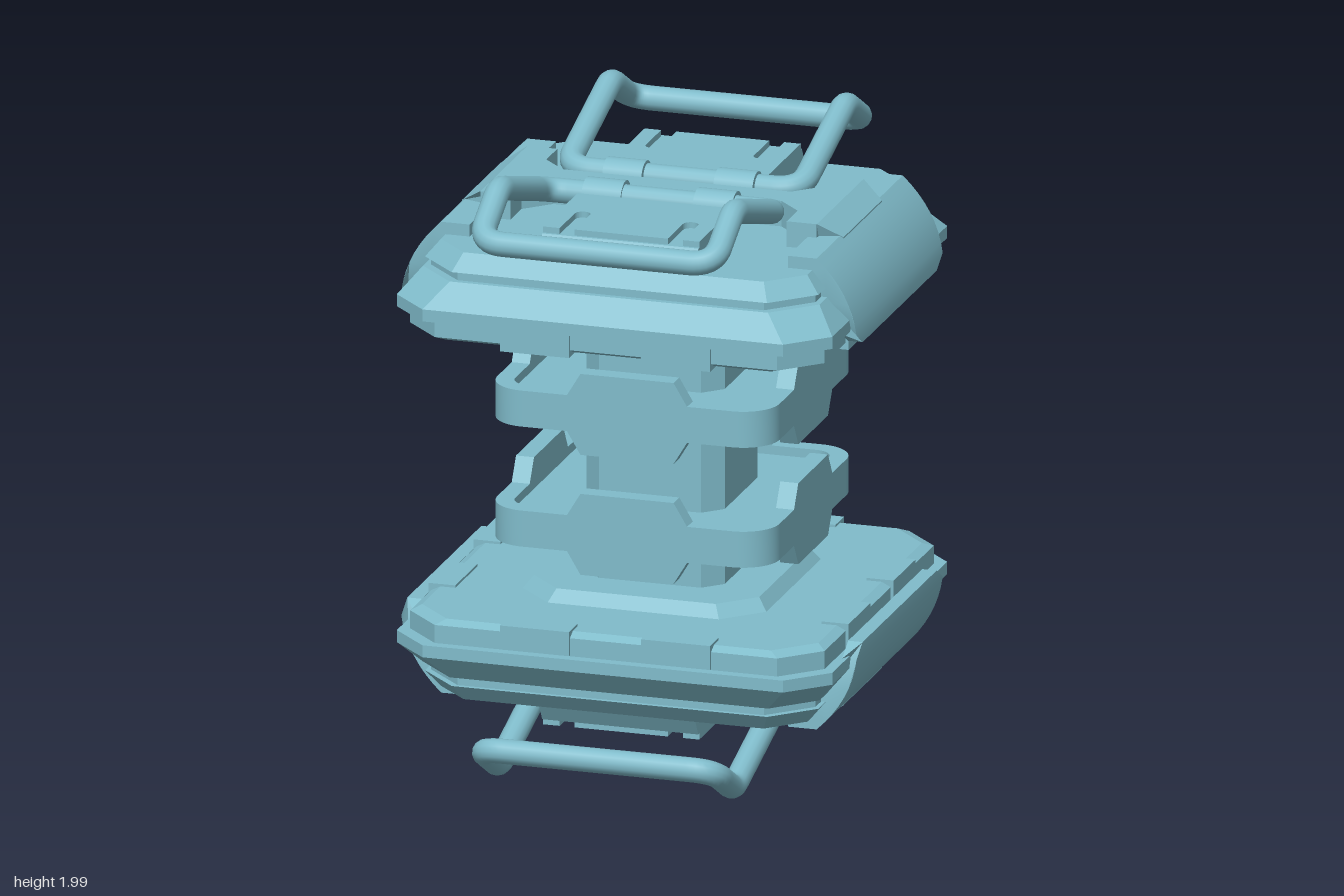
import * as THREE from 'three';
import { toCreasedNormals } from 'three/addons/utils/BufferGeometryUtils.js';

const paint = new THREE.MeshStandardMaterial({ color: 0x80bccb });
paint.name = 'paleTeal';

function add(parent, name, geometry) {
  const m = new THREE.Mesh(geometry, paint);
  m.name = name;
  parent.add(m);
  return m;
}

// Closed solid through stacked rings of [x, y, z], flat shaded
function loft(rings) {
  const pos = [], n = rings[0].length;
  const tri = (a, b, c) => pos.push(...a, ...b, ...c);
  for (let k = 0; k + 1 < rings.length; k++) {
    for (let i = 0; i < n; i++) {
      const j = (i + 1) % n, lo = rings[k], hi = rings[k + 1];
      tri(lo[i], lo[j], hi[j]);
      tri(lo[i], hi[j], hi[i]);
    }
  }
  const bottom = rings[0], top = rings[rings.length - 1];
  for (let i = 1; i + 1 < n; i++) {
    tri(bottom[0], bottom[i + 1], bottom[i]);
    tri(top[0], top[i], top[i + 1]);
  }
  const g = new THREE.BufferGeometry();
  g.setAttribute('position', new THREE.Float32BufferAttribute(pos, 3));
  g.computeVertexNormals();
  return g;
}

// Square of half size s with cut corners c
function octagon(s, c, y) {
  const d = s - c;
  return [[s, d], [s, -d], [d, -s], [-d, -s], [-s, -d], [-s, d], [-d, s], [d, s]].map(([x, z]) => [x, y, z]);
}
const octLoft = (levels) => loft(levels.map(([s, c, y]) => octagon(s, c, y)));

function polygon(points) {
  return new THREE.Shape(points.map(([x, y]) => new THREE.Vector2(x, y)));
}

// Plan shape (x, -z) raised from y0 to y1
function slab(shape, y0, y1) {
  const g = new THREE.ExtrudeGeometry(shape, { depth: y1 - y0, bevelEnabled: false, curveSegments: 8 });
  return g.rotateX(-Math.PI / 2).translate(0, y0, 0);
}

// Closed wire path with rounded corners
function roundedLoop(points, radii) {
  const path = new THREE.CurvePath(), n = points.length, cut = [];
  points.forEach((p, i) => {
    const to = (q) => p.clone().add(q.clone().sub(p).setLength(radii[i]));
    cut.push([to(points[(i + n - 1) % n]), to(points[(i + 1) % n])]);
  });
  for (let i = 0; i < n; i++) {
    const j = (i + 1) % n;
    path.add(new THREE.LineCurve3(cut[i][1], cut[j][0]));
    path.add(new THREE.QuadraticBezierCurve3(cut[j][0], points[j], cut[j][1]));
  }
  return path;
}

// Raised panel, folding wire handle and its two hinge sleeves
function handleHalf() {
  const half = new THREE.Group();
  half.name = 'handleHalf';

  add(half, 'panelBase', loft([
    [[0.26, 1.68, 0.62], [0.26, 1.68, 0.17], [-0.26, 1.68, 0.17], [-0.26, 1.68, 0.62]],
    [[0.26, 1.81, 0.54], [0.26, 1.81, 0.17], [-0.26, 1.81, 0.17], [-0.26, 1.81, 0.54]],
  ]));
  const plate = new THREE.Shape();
  plate.moveTo(-0.26, -0.17);
  plate.lineTo(-0.26, -0.53);
  for (const x of [-0.18, 0.18]) {
    plate.lineTo(x - 0.025, -0.53);
    plate.lineTo(x - 0.025, -0.37);
    plate.absarc(x, -0.37, 0.025, Math.PI, 0, true);
    plate.lineTo(x + 0.025, -0.53);
  }
  plate.lineTo(0.26, -0.53);
  plate.lineTo(0.26, -0.17);
  add(half, 'slottedPanel', slab(plate, 1.81, 1.83));

  const v = (x, y, z) => new THREE.Vector3(x, y, z);
  const loop = roundedLoop([
    v(-0.39, 1.815, 0.115), v(0.39, 1.815, 0.115), v(0.39, 1.962, 0.585),
    v(0.39, 1.845, 0.79), v(-0.39, 1.845, 0.79), v(-0.39, 1.962, 0.585),
  ], [0.09, 0.09, 0.04, 0.08, 0.08, 0.04]);
  add(half, 'wireHandle', new THREE.TubeGeometry(loop, 200, 0.04, 14, true));

  for (const s of [-1, 1]) {
    const sleeve = new THREE.CylinderGeometry(0.056, 0.056, 0.13, 20).rotateZ(Math.PI / 2);
    add(half, 'hingeSleeve', sleeve.translate(s * 0.185, 1.81, 0.108));
  }
  return half;
}

// Curved guard along one side, with its lower corners cut
function sideGuard() {
  const section = new THREE.Shape();
  section.moveTo(0.53, 1.70);
  section.lineTo(0.66, 1.64);
  section.lineTo(0.71, 1.54);
  section.lineTo(0.71, 1.50);
  section.lineTo(0.758, 1.50);
  section.lineTo(0.758, 1.54);
  section.quadraticCurveTo(0.74, 1.68, 0.625, 1.785);
  section.lineTo(0.53, 1.785);
  const g = new THREE.ExtrudeGeometry(section, { depth: 0.9, bevelEnabled: false, curveSegments: 8 });
  g.translate(0, 0, -0.45);
  const p = g.attributes.position;
  for (let i = 0; i < p.count; i++) {
    if (p.getY(i) < 1.53) p.setZ(i, p.getZ(i) * 0.86);
  }
  return toCreasedNormals(g, 0.5);
}

function endCap() {
  const cap = new THREE.Group();
  cap.name = 'endCap';

  add(cap, 'collar', octLoft([[0.375, 0.11, 1.425], [0.405, 0.12, 1.465]]));
  add(cap, 'hull', octLoft([
    [0.66, 0.12, 1.465], [0.69, 0.12, 1.48], [0.69, 0.12, 1.54], [0.725, 0.125, 1.54], [0.725, 0.125, 1.58],
    [0.66, 0.13, 1.66], [0.64, 0.13, 1.66], [0.64, 0.13, 1.69], [0.655, 0.13, 1.69], [0.61, 0.11, 1.745],
  ]));

  // Grip blocks, two along each edge
  for (let k = 0; k < 4; k++) {
    for (const s of [-1, 1]) {
      const block = new THREE.BoxGeometry(0.23, 0.08, 0.09).translate(s * 0.235, 1.497, 0.655);
      add(cap, 'gripBlock', block.rotateY(k * Math.PI / 2));
    }
  }

  // Cross bridge with handle recesses cut from both edges
  const quarter = [[0.56, 0.245], [0.46, 0.245], [0.46, 0.13], [0.38, 0.05]];
  const flip = (sx, sy) => quarter.map(([x, y]) => [x * sx, y * sy]);
  add(cap, 'bridge', slab(polygon([
    ...flip(1, 1), ...flip(-1, 1).reverse(), ...flip(-1, -1), ...flip(1, -1).reverse(),
  ]), 1.70, 1.83));

  for (const s of [0, 1]) {
    const end = loft([
      [[0.635, 1.70, 0.2], [0.635, 1.70, -0.2], [0.5, 1.70, -0.245], [0.5, 1.70, 0.245]],
      [[0.635, 1.78, 0.2], [0.635, 1.78, -0.2], [0.5, 1.78, -0.245], [0.5, 1.78, 0.245]],
      [[0.56, 1.83, 0.245], [0.56, 1.83, -0.245], [0.5, 1.83, -0.245], [0.5, 1.83, 0.245]],
    ]);
    add(cap, 'bridgeEnd', end).rotation.y = s * Math.PI;
    add(cap, 'sideGuard', sideGuard()).rotation.y = s * Math.PI;
    const half = handleHalf();
    half.rotation.y = s * Math.PI;
    cap.add(half);
  }
  return cap;
}

// Rounded square collar with a taller tab on each side
function ring() {
  const g = new THREE.Group();
  g.name = 'ring';
  const wall = polygon([
    [-0.35, -0.06], [-0.2, -0.06], [-0.155, -0.135], [0.155, -0.135], [0.2, -0.06], [0.35, -0.06],
    [0.35, 0.06], [0.2, 0.06], [0.155, 0.135], [-0.155, 0.135], [-0.2, 0.06], [-0.35, 0.06],
  ]);
  const corner = new THREE.Shape();
  corner.absarc(0.35, 0.35, 0.12, 0, Math.PI / 2, false);
  corner.absarc(0.35, 0.35, 0.06, Math.PI / 2, 0, true);
  for (let k = 0; k < 4; k++) {
    const side = new THREE.ExtrudeGeometry(wall, { depth: 0.06, bevelEnabled: false }).translate(0, 0, 0.41);
    add(g, 'ringWall', side.rotateY(k * Math.PI / 2));
    const bend = toCreasedNormals(slab(corner, -0.06, 0.06), 0.6);
    add(g, 'ringCorner', bend.rotateY(k * Math.PI / 2));
  }
  add(g, 'ringFloor', octLoft([[0.42, 0.06, -0.03], [0.42, 0.06, 0.03]]));
  return g;
}

export function createModel() {
  const model = new THREE.Group();
  model.name = 'container';

  add(model, 'column', octLoft([[0.23, 0.06, 0.55], [0.23, 0.06, 1.45]]));
  for (const y of [0.795, 1.195]) {
    const r = ring();
    r.position.y = y;
    model.add(r);
  }

  // Matching caps at both ends
  const upper = endCap();
  const lower = endCap();
  lower.rotation.x = Math.PI;
  lower.position.y = 2;
  model.add(upper, lower);
  return model;
}
